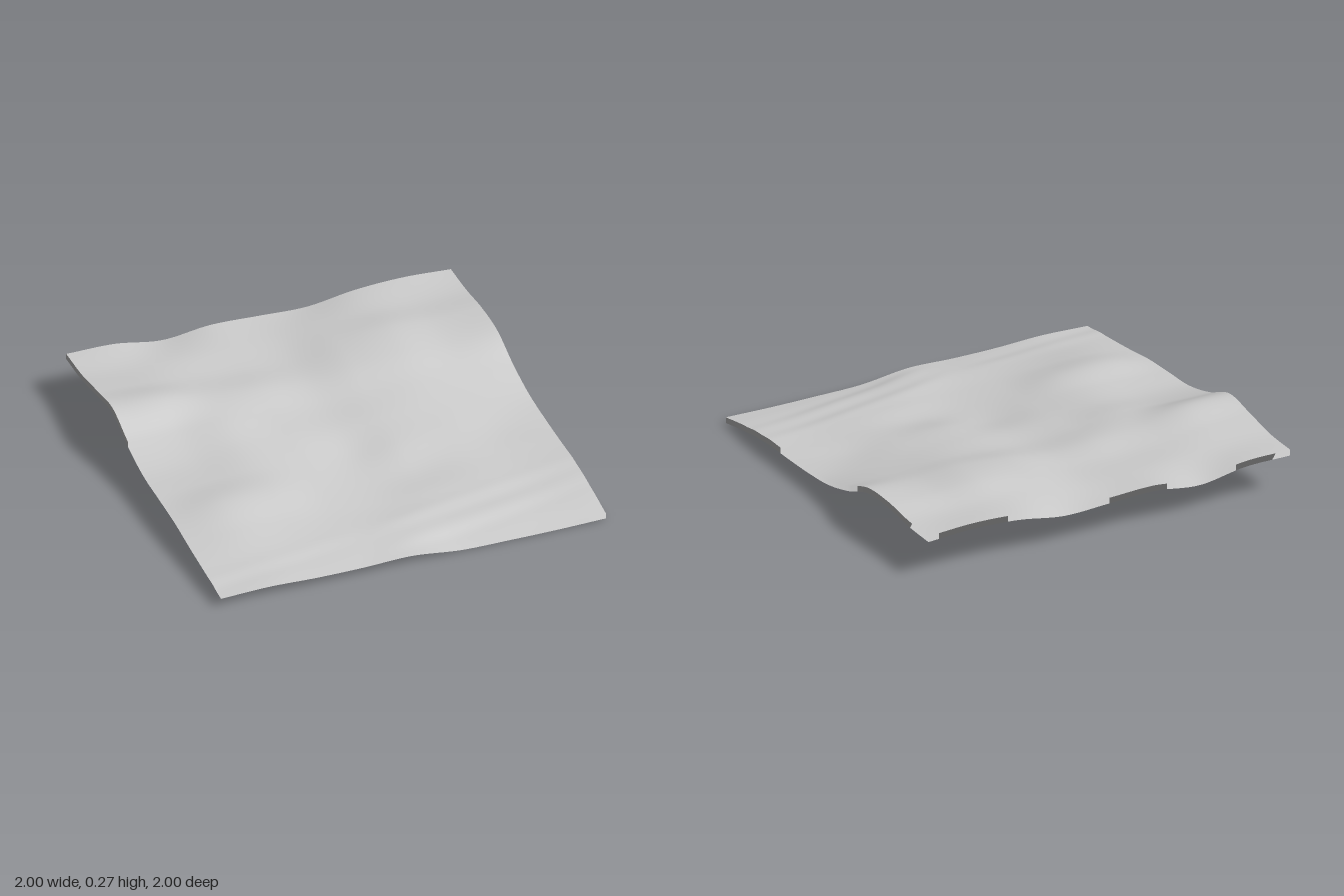
import * as THREE from 'three';

// Heights in hundredths: rows run back to front (z), columns left to right (x)
const HEIGHTS = [
  [21.5, 21, 17, 19.5, 18.5, 17.5, 21, 22, 20.5],
  [22, 20.5, 19.5, 18.8, 18.5, 20.5, 21.5, 20.8, 21],
  [25, 23, 20, 18.2, 18, 22, 24, 22.3, 23],
  [27.3, 26.5, 22, 20, 18, 21, 22.5, 21, 22.3],
  [20, 20, 21, 17.8, 15.5, 17, 18, 16.8, 15.5],
  [15.5, 16, 18, 16.2, 14.3, 15.2, 14.5, 13, 11],
  [14.5, 15.7, 16.5, 14, 11, 13.3, 12.3, 10, 9.5],
  [13.5, 17.2, 16.3, 12, 9.5, 9.3, 10, 9.2, 9],
  [11, 13.2, 12.3, 10.5, 9, 9.3, 9, 8.3, 8.8],
  [9, 9.5, 9.3, 9.3, 9.2, 8, 7, 6.2, 6.7],
  [7, 7.6, 6.6, 6.4, 7, 3.9, 3.3, 3.1, 3.4],
];
const SKIRT_DEPTH = 0.03;
const SEGMENTS = 100;

// Smooth curve through evenly spaced values, t from 0 to 1
function spline(values, t) {
  const n = values.length - 1;
  const i = THREE.MathUtils.clamp(Math.floor(t * n), 0, n - 1);
  const f = t * n - i;
  const b = values[i], c = values[i + 1];
  const a = i > 0 ? values[i - 1] : 2 * b - c;
  const d = i + 2 <= n ? values[i + 2] : 2 * c - b;
  return b + 0.5 * f * (c - a + f * (2 * a - 5 * b + 4 * c - d + f * (3 * (b - c) + d - a)));
}

// Small terrace dropping towards the front along a slanting line
function terrace(z, lineZ, drop) {
  const s = (z - lineZ) / 0.04;
  return -drop * s * Math.exp(-s * s / 2);
}

function heightAt(x, z) {
  const u = (x + 1) / 2, v = (z + 1) / 2;
  const base = spline(HEIGHTS.map((row) => spline(row, u)), v) / 100;
  const right = THREE.MathUtils.smoothstep(x, -0.2, 0.15)
    * (1 - 0.6 * THREE.MathUtils.smoothstep(x, 0.5, 1));
  const left = 1 - THREE.MathUtils.smoothstep(x, -0.5, -0.1);
  return base
    + terrace(z, 0.95 - 0.2 * x, 0.005 * right)
    + terrace(z, 0.79 - 0.19 * x, 0.005 * right)
    + terrace(z, 0.8 - 0.12 * x, 0.004 * left);
}

// Slope-based normal, so the skirt shades like the ground beside it
function normalAt(x, z) {
  const e = 0.01;
  return new THREE.Vector3(
    heightAt(x - e, z) - heightAt(x + e, z), 2 * e,
    heightAt(x, z - e) - heightAt(x, z + e)).normalize();
}

// Horizontal grid bent to the terrain
function groundSheet() {
  const g = new THREE.PlaneGeometry(2, 2, SEGMENTS, SEGMENTS);
  g.rotateX(-Math.PI / 2);
  const p = g.attributes.position;
  for (let i = 0; i < p.count; i++) p.setY(i, heightAt(p.getX(i), p.getZ(i)));
  g.computeVertexNormals();
  return g;
}

// Shallow skirt hanging from one border
function borderSkirt(x0, z0, x1, z1) {
  const g = new THREE.PlaneGeometry(1, 1, SEGMENTS, 1);
  const p = g.attributes.position;
  for (let i = 0; i < p.count; i++) {
    const t = p.getX(i) + 0.5;
    const x = x0 + (x1 - x0) * t, z = z0 + (z1 - z0) * t;
    const drop = p.getY(i) > 0 ? 0 : SKIRT_DEPTH;
    const n = normalAt(x, z);
    p.setXYZ(i, x, heightAt(x, z) - drop, z);
    g.attributes.normal.setXYZ(i, n.x, n.y, n.z);
  }
  return g;
}

export function createModel() {
  const group = new THREE.Group();
  group.name = 'terrainTile';
  const ground = new THREE.MeshStandardMaterial({ color: 0xcccccc, side: THREE.DoubleSide });
  ground.name = 'pale grey ground';

  const add = (name, geometry) => {
    const mesh = new THREE.Mesh(geometry, ground);
    mesh.name = name;
    group.add(mesh);
  };

  add('groundSurface', groundSheet());
  add('frontSkirt', borderSkirt(-1, 1, 1, 1));
  add('leftSkirt', borderSkirt(1, 1, 1, -1));
  add('backSkirt', borderSkirt(1, -1, -1, -1));
  add('rightSkirt', borderSkirt(-1, -1, -1, 1));
  return group;
}
